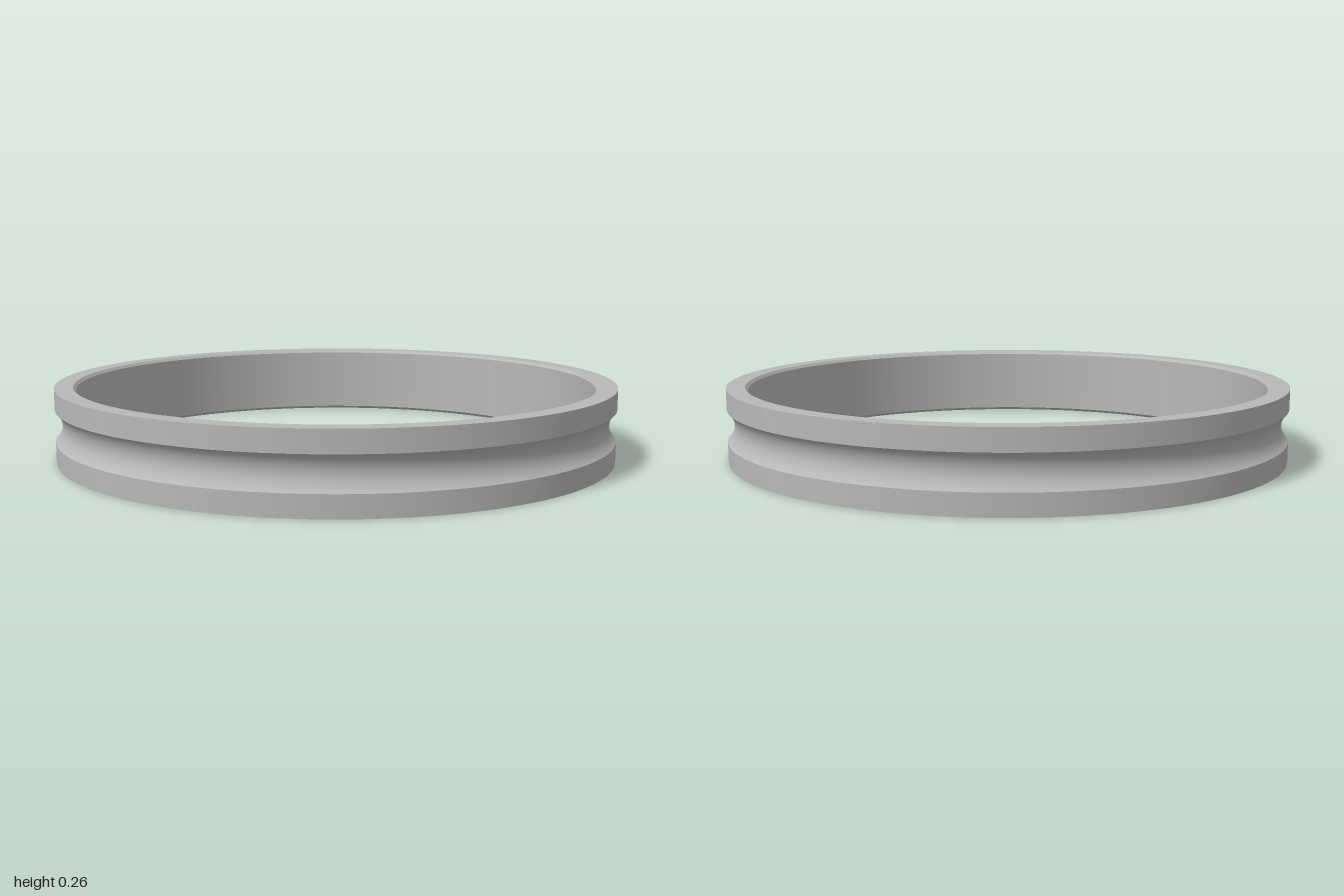
import * as THREE from 'three';

const HEIGHT = 0.26, OUTER = 1, BORE = 0.925, CHAMFER = 0.01;
const GROOVE_HALF = 0.057, GROOVE_DEPTH = 0.025, SEGMENTS = 128;

export function createModel() {
  const group = new THREE.Group();
  group.name = 'bearingRing';
  const steel = new THREE.MeshStandardMaterial({ color: 0xb8b8b8 });
  steel.name = 'steel grey';

  // Each band is its own lathe, so the edges between bands stay sharp.
  const band = (name, points) => {
    const profile = points.map(([r, y]) => new THREE.Vector2(r, y));
    const mesh = new THREE.Mesh(new THREE.LatheGeometry(profile, SEGMENTS), steel);
    mesh.name = name;
    group.add(mesh);
  };

  // Circular arc of the ball groove, from its lower to its upper edge
  const mid = HEIGHT / 2;
  const radius = (GROOVE_HALF ** 2 + GROOVE_DEPTH ** 2) / (2 * GROOVE_DEPTH);
  const centre = OUTER - GROOVE_DEPTH + radius;
  const sweep = Math.asin(GROOVE_HALF / radius);
  const groove = [];
  for (let i = 0; i <= 16; i++) {
    const a = sweep * (i / 8 - 1);
    groove.push([centre - radius * Math.cos(a), mid + radius * Math.sin(a)]);
  }

  // Outside, upwards
  band('lowerShoulder', [[OUTER, 0], [OUTER, mid - GROOVE_HALF]]);
  band('ballGroove', groove);
  band('upperShoulder', [[OUTER, mid + GROOVE_HALF], [OUTER, HEIGHT]]);
  // Top, bore downwards, and underside
  band('topFace', [[OUTER, HEIGHT], [BORE + CHAMFER, HEIGHT]]);
  band('topChamfer', [[BORE + CHAMFER, HEIGHT], [BORE, HEIGHT - CHAMFER]]);
  band('bore', [[BORE, HEIGHT - CHAMFER], [BORE, CHAMFER]]);
  band('bottomChamfer', [[BORE, CHAMFER], [BORE + CHAMFER, 0]]);
  band('bottomFace', [[BORE + CHAMFER, 0], [OUTER, 0]]);
  return group;
}
